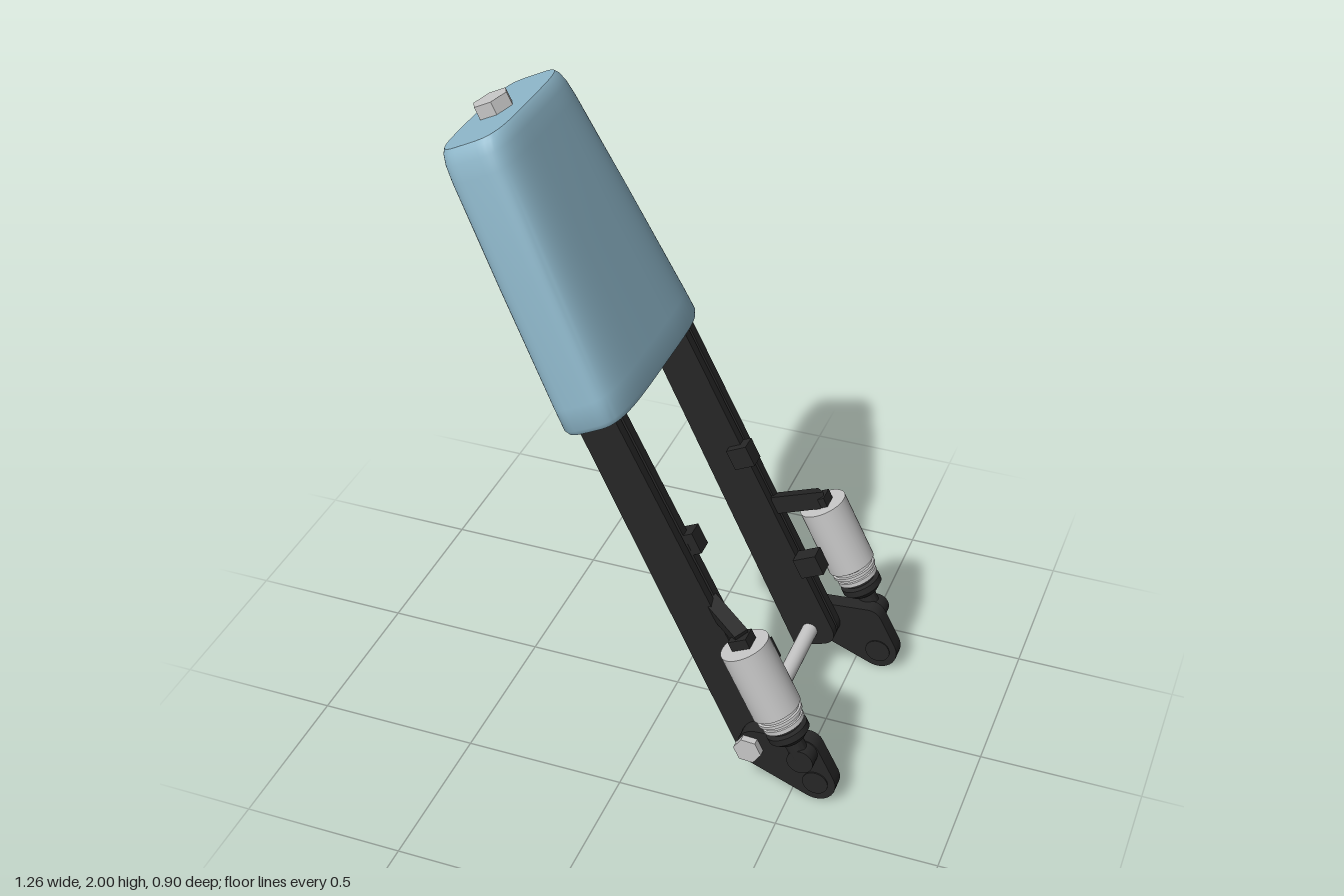
import * as THREE from 'three';
import { toCreasedNormals } from 'three/addons/utils/BufferGeometryUtils.js';
import { ConvexGeometry } from 'three/addons/geometries/ConvexGeometry.js';

const mat = (name, color) => {
  const m = new THREE.MeshStandardMaterial({ color });
  m.name = name;
  return m;
};

export function createModel() {
  const blue = mat('blue shell', 0x8fb8cb);
  const black = mat('black frame', 0x272727);
  const steel = mat('light metal', 0xc9c9c9);

  // Everything is built upright around the pivot bolt, then tilted as one
  const model = new THREE.Group();
  model.name = 'model';
  const tilted = new THREE.Group();
  tilted.name = 'tiltedAssembly';
  tilted.position.set(0.365, 0.145, 0);
  tilted.rotation.z = THREE.MathUtils.degToRad(26.5);
  model.add(tilted);

  const add = (name, geo, material, x = 0, y = 0, z = 0) => {
    const m = new THREE.Mesh(geo, material);
    m.name = name;
    m.position.set(x, y, z);
    tilted.add(m);
    return m;
  };
  const box = (name, w, h, d, x, y, z) => add(name, new THREE.BoxGeometry(w, h, d), black, x, y, z);
  const pin = (name, r, len, material, x, y, z, sides = 24) =>
    add(name, new THREE.CylinderGeometry(r, r, len, sides).rotateX(Math.PI / 2), material, x, y, z);

  // Extruded plate centred on z
  const plate = (name, shape, depth, z) =>
    add(name, new THREE.ExtrudeGeometry(shape, { depth, bevelEnabled: false }), black, 0, 0, z - depth / 2);

  // Tapered shell: rings of [height, half thickness, half width]
  add('shell', shellGeometry([
    [1.134, 0.113, 0.342], [1.15, 0.118, 0.35], [1.22, 0.118, 0.345], [1.6, 0.118, 0.306],
    [1.92, 0.118, 0.268], [1.97, 0.117, 0.258], [2.0, 0.113, 0.246], [2.013, 0.106, 0.236],
  ]), blue, 0.003);
  add('topBolt', toCreasedNormals(
    new THREE.CylinderGeometry(0.058, 0.058, 0.06, 6, 1, false, Math.PI / 6), 0.3), steel, -0.012, 2.023, 0);

  // Cross bar between the arms
  pin('crossBar', 0.026, 0.5, steel, 0, 0, 0);

  // Arm outline, slightly wider toward the pivot; inset makes the recessed web
  const armShape = (inset) => {
    const s = new THREE.Shape();
    s.moveTo(-0.075 + inset, -0.047);
    s.lineTo(0.03, -0.06);
    s.quadraticCurveTo(0.077 - inset, -0.06, 0.077 - inset, -0.01);
    s.lineTo(0.074 - inset, 1.17);
    s.lineTo(-0.052 + inset, 1.17);
    s.closePath();
    return s;
  };

  for (const s of [1, -1]) {
    const side = s > 0 ? 'left' : 'right';

    // Arm: two flanges around a recessed web
    plate(side + 'ArmInner', armShape(0), 0.03, s * 0.25);
    plate(side + 'ArmWeb', armShape(0.008), 0.016, s * 0.27);
    plate(side + 'ArmOuter', armShape(0), 0.03, s * 0.29);

    // Guide blocks on the inner faces
    box(side + 'UpperBlock', 0.07, 0.07, 0.055, 0.069, 0.67, s * 0.237);
    box(side + 'LowerBlock', 0.08, 0.07, 0.055, 0.115, 0.244, s * 0.237);

    // Foot plate: hull around three rounded corners
    const pts = [];
    for (const [x, y, r] of [[0.022, -0.011, 0.065], [0.154, -0.163, 0.063], [0.17, -0.048, 0.045]])
      for (let i = 0; i < 24; i++) {
        const a = (i / 24) * Math.PI * 2;
        for (const z of [0.305, 0.355]) pts.push(new THREE.Vector3(x + r * Math.cos(a), y + r * Math.sin(a), s * z));
      }
    add(side + 'FootPlate', toCreasedNormals(new ConvexGeometry(pts), 0.5), black);
    pin(side + 'FootPin', 0.04, 0.058, black, 0.154, -0.163, s * 0.33);

    // Pivot bolt head
    const head = pin(side + 'PivotBolt', 0.044, 0.08, steel, 0, 0, s * 0.338, 6);
    head.geometry = toCreasedNormals(head.geometry, 0.3);

    // Damper body with grooved lower rings
    const profile = [[0, 0.37], [0.077, 0.37], [0.077, 0.138], [0.066, 0.132], [0.066, 0.124],
      [0.072, 0.122], [0.072, 0.112], [0.062, 0.11], [0.062, 0.1], [0.066, 0.098], [0.066, 0.084], [0, 0.084]];
    const lathe = (list) => toCreasedNormals(
      new THREE.LatheGeometry(list.reverse().map(([x, y]) => new THREE.Vector2(x, y)), 36), 0.5);
    add(side + 'DamperBody', lathe(profile), steel, 0.167, 0, s * 0.375);

    // Collar, rod and joint below the damper
    add(side + 'DamperCollar', lathe([[0, 0.085], [0.05, 0.085], [0.05, 0.07], [0.066, 0.066], [0.066, 0.045],
      [0.045, 0.025], [0.03, 0.02], [0.03, -0.04], [0, -0.04]]), black, 0.167, 0, s * 0.375);
    pin(side + 'DamperJoint', 0.041, 0.055, black, 0.17, -0.048, s * 0.376);

    // Mount block and diagonal strut from the arm to the damper top
    box(side + 'MountBlock', 0.06, 0.035, 0.055, 0.165, 0.385, s * 0.372);
    const a = new THREE.Vector3(0.055, 0.465, s * 0.265);
    const b = new THREE.Vector3(0.17, 0.39, s * 0.372);
    const brace = add(side + 'MountBrace', new THREE.BoxGeometry(0.045, 0.055, a.distanceTo(b)), black);
    brace.position.copy(a).lerp(b, 0.5);
    brace.quaternion.setFromRotationMatrix(new THREE.Matrix4().lookAt(b, a, new THREE.Vector3(0, 1, 0)));
  }
  return model;
}

// Closed loft of superellipse rings
function shellGeometry(rings) {
  const n = 64, pos = [], idx = [];
  const pow = (v) => Math.sign(v) * Math.abs(v) ** (2 / 4.2);
  for (const [y, a, b] of rings)
    for (let j = 0; j < n; j++) {
      const t = (j / n) * Math.PI * 2;
      pos.push(a * pow(Math.cos(t)), y, b * pow(Math.sin(t)));
    }
  const last = rings.length - 1, bottom = rings.length * n, top = bottom + 1;
  pos.push(0, rings[0][0], 0, 0, rings[last][0], 0);
  for (let j = 0; j < n; j++) {
    const k = (j + 1) % n;
    for (let i = 0; i < last; i++) {
      const p = i * n, q = p + n;
      idx.push(p + j, q + j, p + k, p + k, q + j, q + k);
    }
    idx.push(bottom, j, k, top, last * n + k, last * n + j);
  }
  const g = new THREE.BufferGeometry();
  g.setAttribute('position', new THREE.Float32BufferAttribute(pos, 3));
  g.setIndex(idx);
  return toCreasedNormals(g, 0.6);
}
